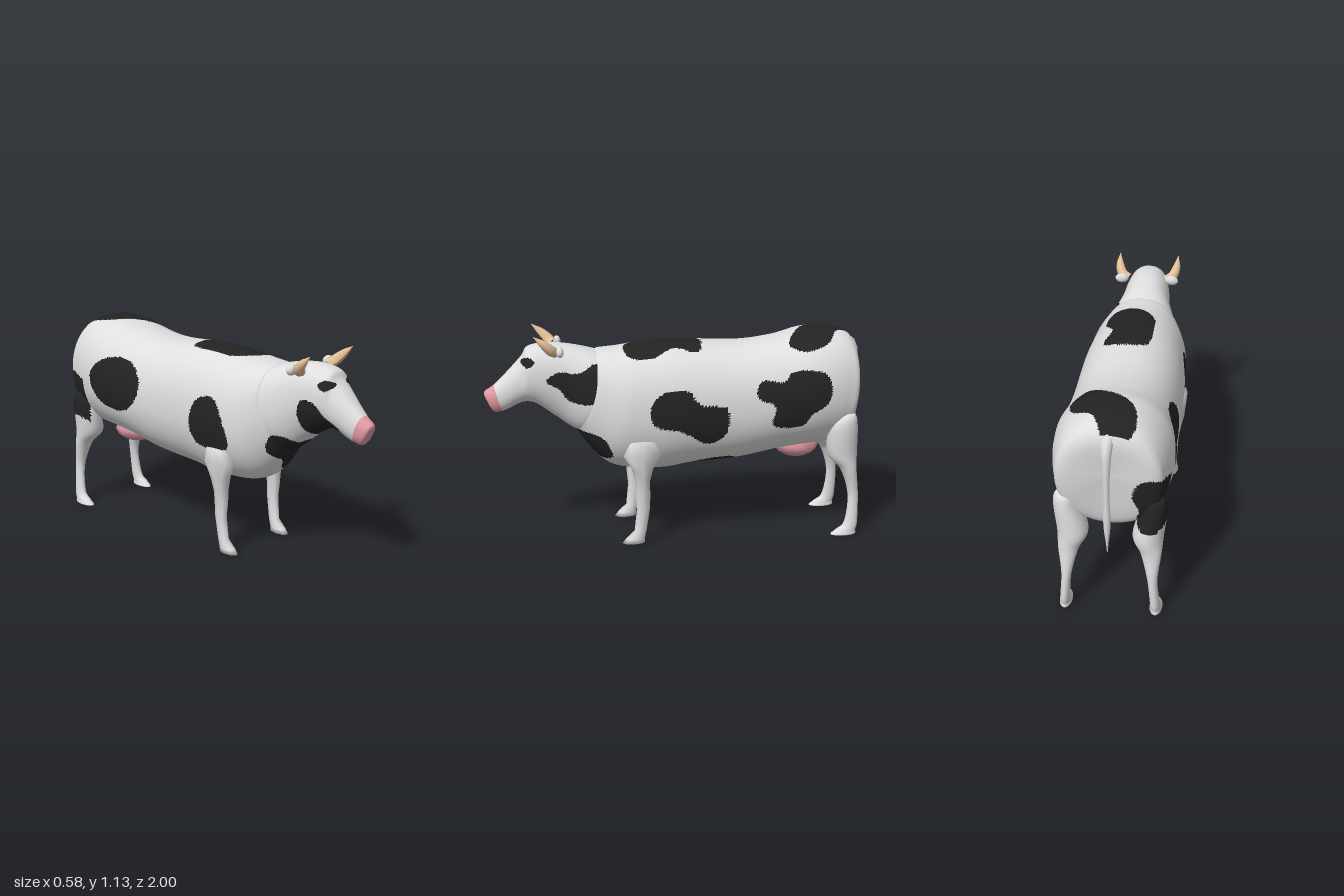
import * as THREE from 'three';

const mat = (name, color) => Object.assign(new THREE.MeshStandardMaterial({ color }), { name });
const white = mat('white coat', 0xdedede);
const black = mat('black spots', 0x232323);
const pink = mat('pink skin', 0xe09aa2);
const tan = mat('tan horn', 0xe6c098);

// Smooth interpolation through table rows at parameter t
function sample(rows, t) {
  const i = Math.min(Math.floor(t), rows.length - 2), f = t - i;
  const at = k => rows[Math.max(0, Math.min(rows.length - 1, k))];
  const [a, b, c, d] = [at(i - 1), at(i), at(i + 1), at(i + 2)];
  return b.map((v, k) => v + 0.5 * f * (c[k] - a[k]
    + f * (2 * a[k] - 5 * v + 4 * c[k] - d[k] + f * (3 * (v - c[k]) + d[k] - a[k]))));
}

// Skin through rings; paint(centroid, t) gives the material index of each triangle
function loft(rows, sides, steps, ringPoint, paint = () => 0) {
  const pos = [], lists = [[], [], []], n = (rows.length - 1) * steps;
  for (let i = 0; i <= n; i++) {
    const row = sample(rows, i / steps);
    for (let j = 0; j < sides; j++) pos.push(...ringPoint(row, j / sides * Math.PI * 2));
  }
  const mean = (tri, k) => (pos[tri[0] * 3 + k] + pos[tri[1] * 3 + k] + pos[tri[2] * 3 + k]) / 3;
  for (let i = 0; i < n; i++) for (let j = 0; j < sides; j++) {
    const a = i * sides + j, b = i * sides + (j + 1) % sides, c = a + sides, d = b + sides;
    for (const tri of [[a, b, c], [b, d, c]])
      lists[paint([mean(tri, 0), mean(tri, 1), mean(tri, 2)], (i + 0.5) / steps)].push(...tri);
  }
  const g = new THREE.BufferGeometry();
  g.setAttribute('position', new THREE.Float32BufferAttribute(pos, 3));
  g.setIndex(lists.flat());
  let start = 0;
  lists.forEach((l, m) => { if (l.length) g.addGroup(start, l.length, m); start += l.length; });
  g.computeVertexNormals();
  return g;
}

// Trunk ring: row = [top z, top y, bottom z, bottom y, half width]; forward-leaning rings sweep forward low down
function trunkRing([zt, yt, zb, yb, w], a) {
  const s = Math.sin(a), c = Math.cos(a), e = c > 0 ? 0.89 : 0.96;
  const v = (1 - Math.sign(c) * Math.abs(c) ** e) / 2;
  return [w * Math.sign(s) * Math.abs(s) ** e, yt + (yb - yt) * v, zt + (zb - zt) * (zb > zt ? v ** 3 : v)];
}

// Leg ring: row = [y, x, z, half width, half depth]
const legRing = side => ([y, x, z, w, d], a) => [side * x + w * Math.sin(a), y, z + d * Math.cos(a)];

// Spots are closed outlines seen along one axis
const planes = {
  right: p => p[0] < 0 && [p[2], p[1]],
  left: p => p[0] > 0 && [p[2], p[1]],
  top: p => p[1] > 0.9 && p[2] > -0.94 && [p[0], p[2]],
  under: p => p[1] < 0.77 && [p[0], p[2]],
  front: p => p[2] > 0.28 && [p[0], p[1]],
  back: p => p[2] < -0.8 && [p[0], p[1]],
};
function spot(plane, outline) {
  const curve = new THREE.CatmullRomCurve3(outline.map(([x, y]) => new THREE.Vector3(x, y, 0)), true);
  const pts = curve.getPoints(40);
  return p => {
    const q = planes[plane](p);
    if (!q) return false;
    let inside = false;
    for (let i = 0, j = pts.length - 1; i < pts.length; j = i++) {
      const a = pts[i], b = pts[j];
      if ((a.y > q[1]) !== (b.y > q[1]) && q[0] < (b.x - a.x) * (q[1] - a.y) / (b.y - a.y) + a.x) inside = !inside;
    }
    return inside;
  };
}

const chestSpot = spot('front', [[-0.15, 0.62], [-0.14, 0.69], [-0.05, 0.65], [0, 0.67], [0.05, 0.615], [0.18, 0.59], [0.16, 0.48], [0.07, 0.455], [0, 0.47], [-0.05, 0.54], [-0.12, 0.57]]);
const haunchSpot = spot('back', [[-0.11, 0.7], [-0.15, 0.8], [-0.24, 0.81], [-0.29, 0.75], [-0.28, 0.56], [-0.19, 0.5], [-0.13, 0.53], [-0.14, 0.62]]);
const bodySpots = [
  chestSpot, haunchSpot,
  spot('left', [[0.158, 0.77], [0.09, 0.835], [-0.035, 0.84], [-0.09, 0.77], [-0.235, 0.745], [-0.22, 0.59], [-0.135, 0.55], [-0.045, 0.6], [0.01, 0.63], [0.14, 0.665]]),
  spot('left', [[-0.387, 0.82], [-0.42, 0.88], [-0.53, 0.87], [-0.575, 0.92], [-0.745, 0.91], [-0.78, 0.83], [-0.76, 0.75], [-0.675, 0.695], [-0.64, 0.637], [-0.475, 0.64], [-0.485, 0.75], [-0.405, 0.78]]),
  spot('right', [[-0.35, 0.82], [-0.44, 0.92], [-0.62, 0.92], [-0.73, 0.82], [-0.67, 0.68], [-0.52, 0.64], [-0.4, 0.7]]),
  spot('right', [[0.28, 0.6], [0.25, 0.74], [0.18, 0.84], [0.08, 0.82], [0.03, 0.7], [0.06, 0.59], [0.18, 0.57]]),
  spot('top', [[-0.08, -0.11], [0.02, -0.135], [0.14, -0.1], [0.11, 0.02], [0.16, 0.13], [0.13, 0.26], [0, 0.27], [-0.09, 0.18], [-0.1, 0.02]]),
  spot('top', [[-0.11, -0.93], [0.01, -0.96], [0.08, -0.85], [0.18, -0.78], [0.21, -0.66], [0.15, -0.58], [0.04, -0.63], [-0.1, -0.75]]),
  spot('under', [[0.03, 0.09], [0.09, -0.03], [0.15, -0.2], [0.13, -0.3], [0.05, -0.28], [0, -0.38], [-0.04, -0.3], [-0.05, -0.12]]),
];
const headSpots = [
  chestSpot,
  spot('left', [[0.68, 0.885], [0.62, 0.93], [0.52, 0.925], [0.42, 0.97], [0.36, 0.88], [0.41, 0.79], [0.46, 0.765], [0.57, 0.785], [0.61, 0.84]]),
  spot('right', [[0.65, 0.89], [0.72, 0.89], [0.78, 0.82], [0.84, 0.77], [0.83, 0.72], [0.68, 0.7], [0.63, 0.8]]),
  spot('under', [[-0.09, 0.7], [-0.06, 0.83], [0.02, 0.83], [0.03, 0.7], [-0.02, 0.67]]),
  ...['left', 'right'].map(s => spot(s, [[0.805, 0.978], [0.77, 1.003], [0.735, 0.982], [0.77, 0.952]])),  // eyes
];

// Tube along points whose radius follows a list
function taperTube(points, radii, sides) {
  const curve = new THREE.CatmullRomCurve3(points.map(p => new THREE.Vector3(...p))), n = 16;
  const g = new THREE.TubeGeometry(curve, n, 1, sides), p = g.attributes.position, v = new THREE.Vector3();
  for (let k = 0; k < p.count; k++) {
    const t = Math.floor(k / (sides + 1)) / n, c = curve.getPointAt(t);
    const [r] = sample(radii.map(x => [x]), t * (radii.length - 1));
    v.fromBufferAttribute(p, k).sub(c).multiplyScalar(r).add(c);
    p.setXYZ(k, v.x, v.y, v.z);
  }
  g.computeVertexNormals();
  return g;
}

export function createModel() {
  const cow = new THREE.Group();
  cow.name = 'cow';
  const add = (name, geometry, material) => {
    const m = new THREE.Mesh(geometry, material);
    m.name = name;
    cow.add(m);
    return m;
  };

  // Trunk, from chest to rump; its front opening is filled by the neck
  const bodyRows = [
    [0.412, 1.0, 0.51, 0.625, 0.165], [0.41, 1.02, 0.53, 0.605, 0.19], [0.3, 1.03, 0.36, 0.41, 0.248],
    [0.18, 1.045, 0.1, 0.37, 0.264], [0, 1.055, -0.07, 0.39, 0.272], [-0.33, 1.04, -0.33, 0.41, 0.275],
    [-0.53, 1.06, -0.55, 0.45, 0.28], [-0.7, 1.1, -0.72, 0.47, 0.292], [-0.88, 1.095, -0.82, 0.48, 0.265],
    [-0.95, 1.015, -0.895, 0.54, 0.215], [-0.935, 0.82, -0.935, 0.82, 0],
  ];
  add('body', loft(bodyRows, 168, 18, trunkRing, p => bodySpots.some(s => s(p)) ? 1 : 0), [white, black]);

  // Muzzle, head and neck
  const headRows = [
    [0.985, 0.775, 0.985, 0.775, 0], [0.995, 0.812, 0.95, 0.708, 0.036], [0.945, 0.848, 0.905, 0.71, 0.055],
    [0.88, 0.91, 0.865, 0.725, 0.07], [0.8, 0.995, 0.82, 0.748, 0.09], [0.765, 1.045, 0.77, 0.755, 0.106],
    [0.67, 1.062, 0.72, 0.737, 0.122], [0.55, 1.05, 0.63, 0.672, 0.14], [0.41, 1.015, 0.52, 0.595, 0.184],
    [0.33, 0.98, 0.42, 0.6, 0.17],
  ];
  add('head', loft(headRows, 128, 16, trunkRing,
    (p, t) => t < 2 ? 2 : headSpots.some(s => s(p)) ? 1 : 0), [white, black, pink]);

  // Legs, listed from hoof to shoulder or thigh
  const frontRows = [
    [0.01, 0.2, 0.25, 0, 0], [0.01, 0.2, 0.25, 0.03, 0.06], [0.035, 0.2, 0.24, 0.03, 0.05],
    [0.08, 0.2, 0.212, 0.024, 0.032], [0.2, 0.203, 0.197, 0.025, 0.035], [0.28, 0.203, 0.2, 0.03, 0.04],
    [0.35, 0.205, 0.2, 0.04, 0.038], [0.42, 0.21, 0.2, 0.05, 0.055], [0.5, 0.22, 0.2, 0.048, 0.1],
    [0.575, 0.232, 0.197, 0.043, 0.067], [0.58, 0.228, 0.2, 0, 0],
  ];
  const rearRows = [
    [0, 0.225, -0.885, 0, 0], [0, 0.225, -0.885, 0.03, 0.066], [0.025, 0.225, -0.9, 0.028, 0.055],
    [0.07, 0.222, -0.928, 0.024, 0.036], [0.22, 0.21, -0.937, 0.025, 0.028], [0.36, 0.2, -0.91, 0.05, 0.043],
    [0.45, 0.182, -0.875, 0.075, 0.08], [0.6, 0.21, -0.87, 0.062, 0.075], [0.67, 0.213, -0.885, 0.045, 0.045],
    [0.69, 0.205, -0.885, 0, 0],
  ];
  for (const side of [1, -1]) {
    const label = side > 0 ? 'left' : 'right';
    add(label + ' front leg', loft(frontRows, 8, 1, legRing(side)), white);
    add(label + ' rear leg', loft(rearRows, 32, 8, legRing(side), p => haunchSpot(p) ? 1 : 0), [white, black]);
    // Horn and ear
    add(label + ' horn', taperTube([[0.1, 1.03, 0.63], [0.137, 1.045, 0.645], [0.157, 1.08, 0.682], [0.163, 1.128, 0.738]]
      .map(([x, y, z]) => [side * x, y, z]), [0.026, 0.027, 0.019, 0.002], 8), tan);
    const ear = add(label + ' ear', new THREE.SphereGeometry(1, 10, 8), white);
    ear.position.set(side * 0.138, 1.04, 0.607);
    ear.scale.set(0.038, 0.027, 0.02);
    ear.rotation.z = side * -0.1;
  }

  // Udder and tail
  const udder = add('udder', new THREE.SphereGeometry(1, 10, 6), pink);
  udder.position.set(0, 0.465, -0.665);
  udder.scale.set(0.125, 0.075, 0.125);
  add('tail', taperTube([[0, 1.03, -0.92], [0, 1.0, -0.958], [0, 0.9, -0.98], [0, 0.58, -0.983], [0, 0.41, -0.983]],
    [0.03, 0.018, 0.014, 0.017, 0.002], 8), white);
  return cow;
}
